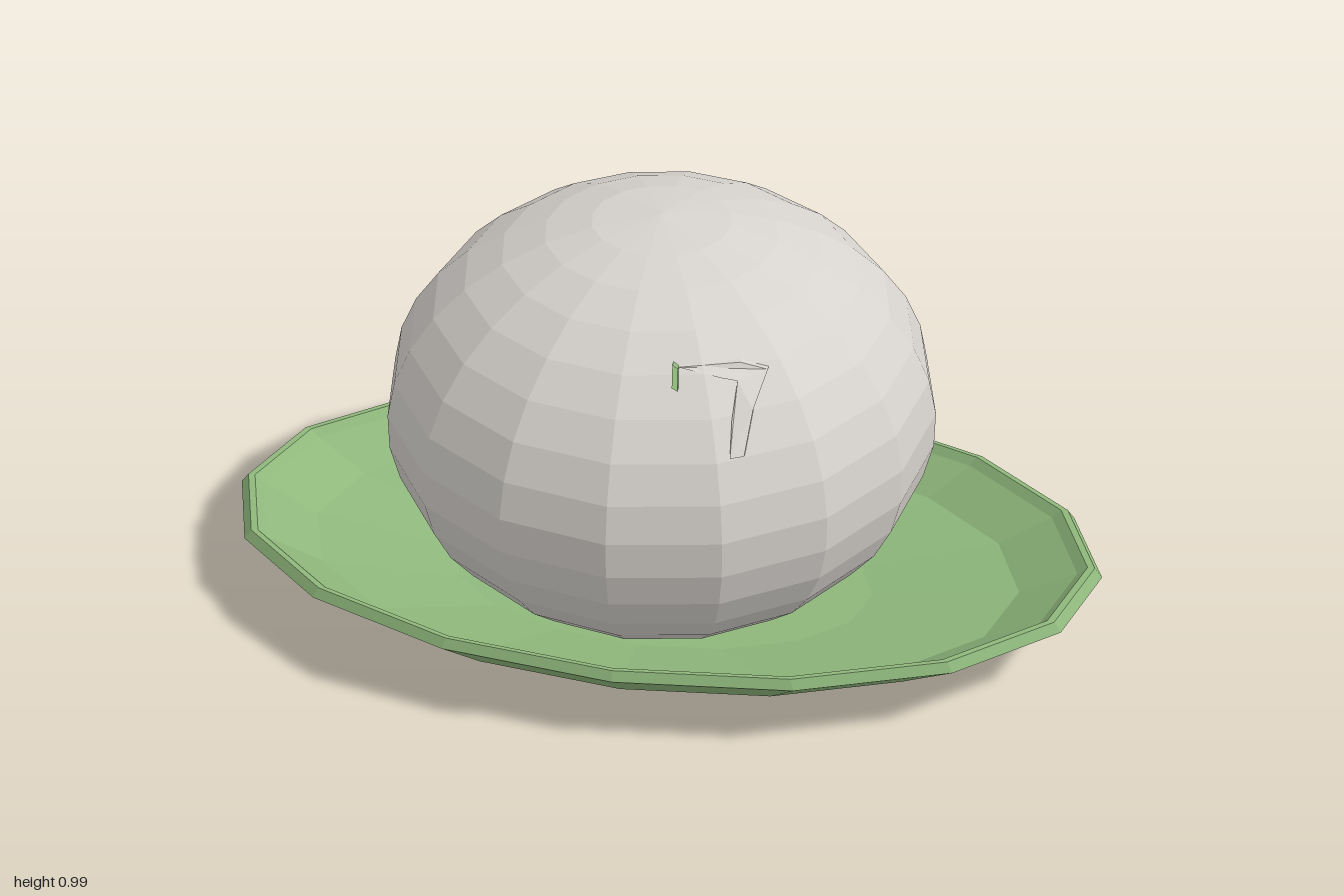
import * as THREE from 'three';

const paint = (name, color) => {
  const m = new THREE.MeshStandardMaterial({ color, flatShading: true });
  m.name = name;
  return m;
};

export function createModel() {
  const group = new THREE.Group();
  const dough = paint('pale dough', 0xd6d2cd);
  const leaf = paint('leaf green', 0x8fb87c);

  const add = (name, geometry, material) => {
    const mesh = new THREE.Mesh(geometry, material);
    mesh.name = name;
    group.add(mesh);
    return mesh;
  };
  const lathe = (pts) =>
    new THREE.LatheGeometry(pts.map(([r, y]) => new THREE.Vector2(r, y)), 16);

  // Oval dish: underside, rim, then hollow inside
  const dish = lathe([
    [0, 0.005], [0.5, 0.025], [0.845, 0.083], [1, 0.172], [0.982, 0.195],
    [0.966, 0.195], [0.945, 0.175], [0.82, 0.105], [0.49, 0.048], [0, 0.028],
  ]);
  dish.scale(1, 1, 0.566);
  add('dish', dish, leaf);

  // Squashed faceted ball
  const R = 0.61, H = 0.475, CY = 0.52;
  const profile = [[0, CY - H]];
  for (let k = 0; k < 16; k++) {
    const a = THREE.MathUtils.degToRad(165.75 - 10.1 * k);
    profile.push([R * Math.sin(a), CY + H * Math.cos(a)]);
  }
  profile.push([0, CY + H]);
  add('ball', lathe(profile), dough);

  // Small details laid over the front of the ball
  const surfaceZ = (x, y) =>
    R * Math.sqrt(1 - (x / R) ** 2 - ((y - CY) / H) ** 2);
  const patch = (name, pts, material) => {
    const shape = new THREE.Shape(pts.map(([x, y]) => new THREE.Vector2(x, y)));
    const g = new THREE.ExtrudeGeometry(shape, { depth: 0.025, bevelEnabled: false });
    const p = g.attributes.position;
    for (let i = 0; i < p.count; i++) {
      p.setZ(i, p.getZ(i) + surfaceZ(p.getX(i), p.getY(i)) - 0.022);
    }
    g.computeVertexNormals();
    add(name, g, material);
  };
  patch('foldBar', [[0.11, 0.872], [0.2, 0.852], [0.23, 0.845], [0.285, 0.85], [0.23, 0.868]], dough);
  patch('foldStem', [[0.235, 0.73], [0.262, 0.73], [0.268, 0.8], [0.285, 0.85], [0.23, 0.845], [0.23, 0.79]], dough);
  patch('leafSpeck', [[0.104, 0.845], [0.116, 0.84], [0.11, 0.87], [0.098, 0.875]], leaf);

  return group;
}
